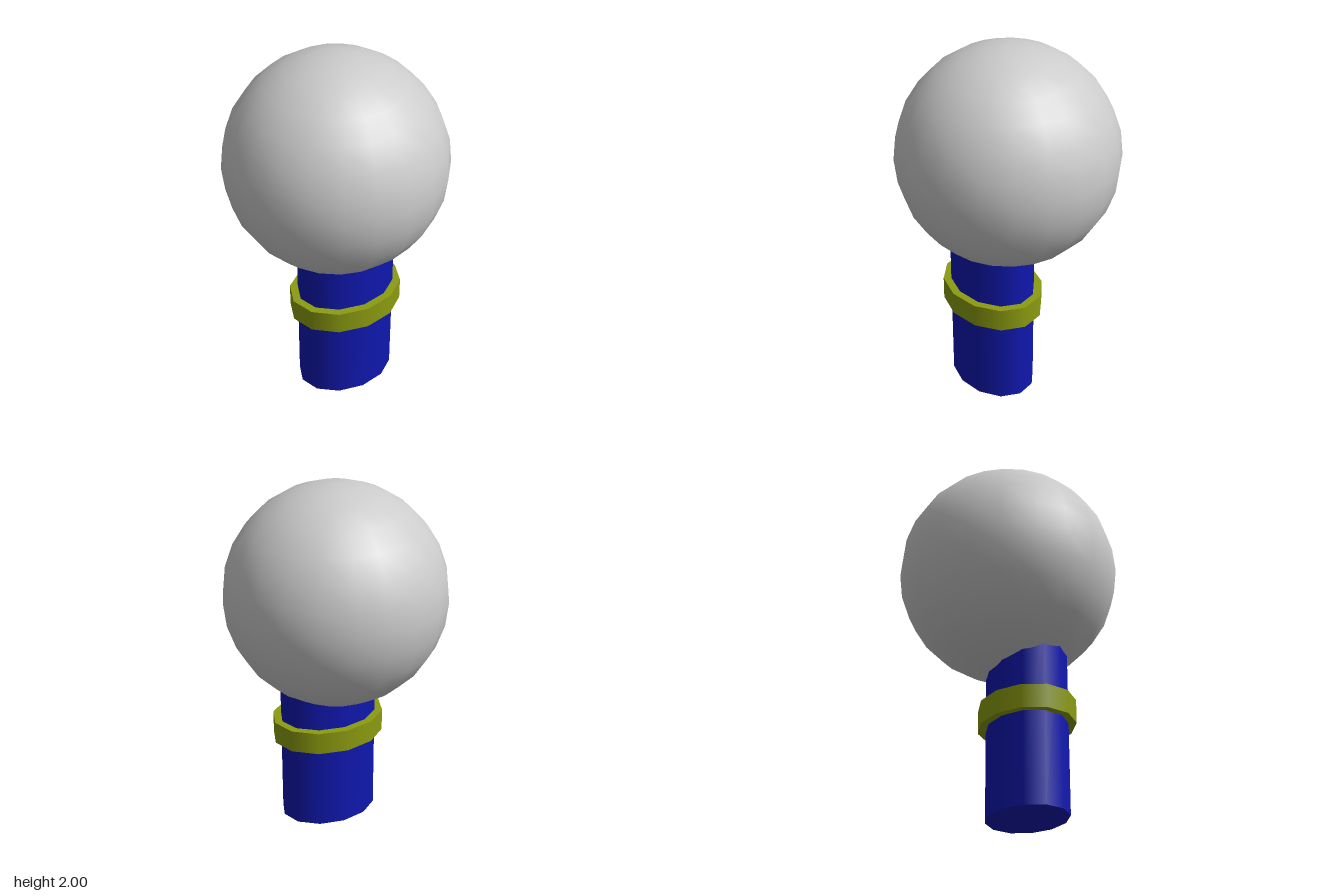
import * as THREE from 'three';

// Twelve-sided oval column standing on y = bottom
function ovalColumn(name, rx, rz, bottom, height, color) {
  const geometry = new THREE.CylinderGeometry(1, 1, height, 12);
  geometry.scale(rx, 1, rz);
  const mesh = new THREE.Mesh(geometry, new THREE.MeshStandardMaterial({ color }));
  mesh.name = name;
  mesh.position.set(0, bottom + height / 2, 0.108);
  return mesh;
}

export function createModel() {
  const model = new THREE.Group();
  model.name = 'ballOnPost';

  // Ball, with a vertex column pointing straight back
  const radius = 0.6065;
  const ball = new THREE.Mesh(
    new THREE.SphereGeometry(radius, 21, 14),
    new THREE.MeshStandardMaterial({ color: 0xcccccc })
  );
  ball.name = 'ball';
  ball.rotation.y = -Math.PI / 2;
  ball.position.set(0, 2 - radius, 0.003);
  model.add(ball);

  // Oval post, its top buried in the ball, set towards the front
  model.add(ovalColumn('post', 0.283, 0.213, 0, 0.95, 0x1018b0));

  // Collar around the post
  model.add(ovalColumn('collar', 0.327, 0.256, 0.497, 0.128, 0x8c9c10));

  return model;
}
